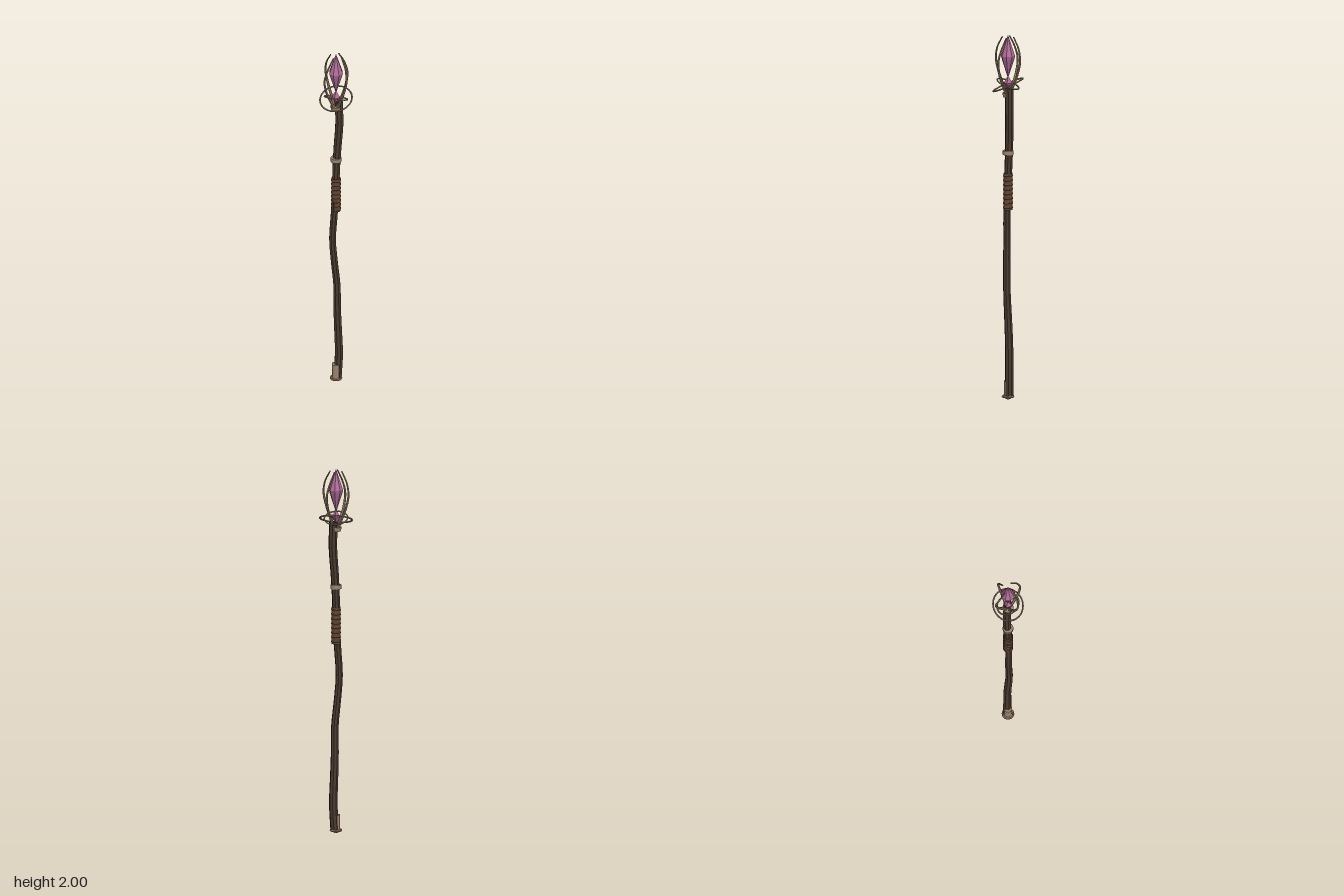
import * as THREE from 'three';

const mat = (color) => new THREE.MeshStandardMaterial({ color, flatShading: true });

export function createModel() {
  const staff = new THREE.Group();
  staff.name = 'staff';
  const wood = mat(0x4a3b30), leather = mat(0x614532), metal = mat(0xa0866f), gem = mat(0xb06c98);

  const add = (name, geometry, material, y = 0) => {
    const mesh = new THREE.Mesh(geometry, material);
    mesh.name = name;
    mesh.position.y = y;
    staff.add(mesh);
    return mesh;
  };
  const ring = (radius, tube, sides = 6, segments = 32) =>
    new THREE.TorusGeometry(radius, tube, sides, segments).rotateX(Math.PI / 2);

  // Crooked wooden shaft: a cylinder whose rings follow a wandering centre line
  const y0 = 0.02, y1 = 1.71;
  const xs = [0.006, 0.013, 0.009, 0.006, 0.007, -0.006, -0.016, -0.008, -0.001, 0, 0.006, 0.015, 0.012];
  const zs = [-0.008, -0.01, -0.008, -0.002, 0.004, 0.008, 0.01, 0.008, 0.003, -0.003, -0.008, -0.011, -0.009];
  const line = new THREE.CatmullRomCurve3(
    xs.map((x, i) => new THREE.Vector3(x, i, zs[i])), false, 'catmullrom');
  const shaft = new THREE.CylinderGeometry(1, 1, 1, 8, 36);
  const pos = shaft.attributes.position;
  for (let i = 0; i < pos.count; i++) {
    const t = THREE.MathUtils.clamp(pos.getY(i) + 0.5, 0, 1);
    const c = line.getPoint(t);
    const r = 0.0215 + 0.002 * Math.cos(t * Math.PI * 2);
    pos.setXYZ(i, c.x + pos.getX(i) * r, y0 + t * (y1 - y0), c.z + pos.getZ(i) * r);
  }
  shaft.computeVertexNormals();
  add('shaft', shaft, wood);

  // Leather grip with raised bands
  add('grip', new THREE.CylinderGeometry(0.025, 0.025, 0.2, 12), leather, 1.14);
  for (let i = 0; i < 8; i++) {
    add('gripBand', ring(0.0215, 0.0065, 6, 16), leather, 1.052 + i * 0.025).rotation.x = 0.06;
  }

  // Metal bands and foot
  add('middleBand', new THREE.CylinderGeometry(0.029, 0.029, 0.022, 16), metal, 1.353);
  add('topCollar', new THREE.CylinderGeometry(0.03, 0.027, 0.022, 16), metal, 1.67);
  add('ferrule', new THREE.CylinderGeometry(0.023, 0.021, 0.085, 12), metal, 0.057);
  add('footRing', ring(0.028, 0.006, 6, 20), metal, 0.014);
  add('footTip', new THREE.CylinderGeometry(0.02, 0.012, 0.016, 12), metal, 0.008);

  // Faceted crystal and the small gem seated beneath it
  const profile = [[0, 1.76], [0.034, 1.865], [0.039, 1.885], [0, 2]];
  add('crystal', new THREE.LatheGeometry(
    profile.map(([r, y]) => new THREE.Vector2(r, y)), 8), gem);
  add('seatGem', new THREE.OctahedronGeometry(0.024).scale(1, 1.7, 1), gem, 1.735);

  // Four tapering claws, bulging outward and twisting back in at the tips
  const clawPoints = [
    [0.014, 1.675, 0.5], [0.036, 1.72, 0.55], [0.066, 1.785, 0.52],
    [0.083, 1.86, 0.46], [0.068, 1.925, 0.34], [0.033, 1.986, 0.08],
  ].map(([r, y, a]) => new THREE.Vector3(r * Math.cos(a), y, r * Math.sin(a)));
  const clawCurve = new THREE.CatmullRomCurve3(clawPoints);
  const segments = 20, sides = 6;
  const claw = new THREE.TubeGeometry(clawCurve, segments, 0.0085, sides);
  const cp = claw.attributes.position, v = new THREE.Vector3();
  for (let i = 0; i < cp.count; i++) {
    const t = Math.floor(i / (sides + 1)) / segments;
    const c = clawCurve.getPointAt(t);
    v.fromBufferAttribute(cp, i).sub(c).multiplyScalar(1 - 0.55 * t).add(c);
    cp.setXYZ(i, v.x, v.y, v.z);
  }
  for (let i = 0; i < 4; i++) {
    add('claw', claw, metal).rotation.y = i * Math.PI / 2;
    // Rounded claw tip
    const tip = add('clawTip', new THREE.IcosahedronGeometry(0.0042, 0), metal);
    tip.position.copy(clawPoints[5]).applyAxisAngle(new THREE.Vector3(0, 1, 0), i * Math.PI / 2);
  }

  // Two crossed orbit rings around the claw base
  add('outerRing', ring(0.087, 0.0045, 6, 40), metal, 1.725).rotation.x = 0.42;
  add('innerRing', ring(0.063, 0.004, 6, 36), metal, 1.73).rotation.x = -0.4;

  return staff;
}
